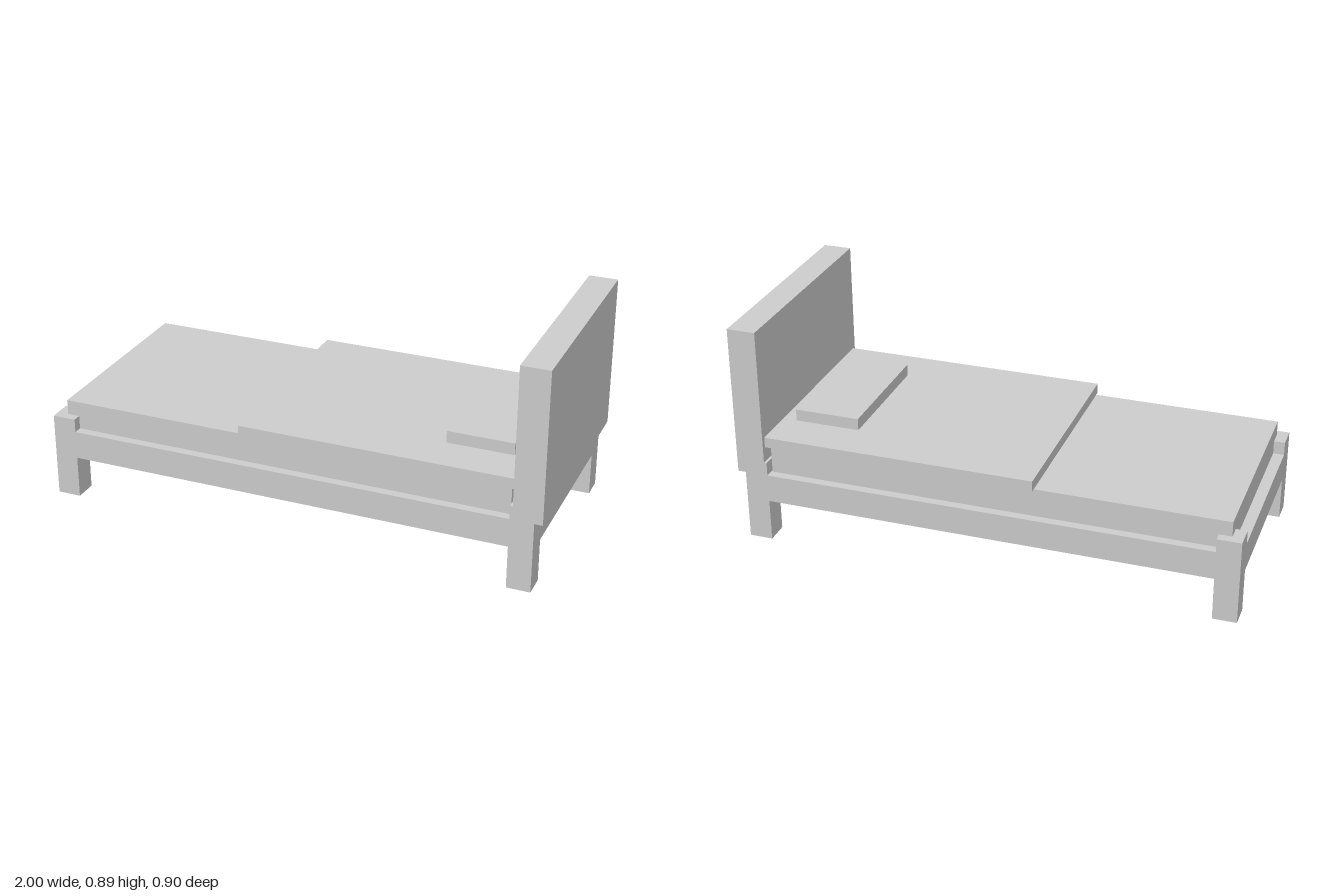
import * as THREE from 'three';

export function createModel() {
  const model = new THREE.Group();
  const grey = new THREE.MeshStandardMaterial({ color: 0xcccccc, side: THREE.DoubleSide });
  grey.name = 'plain grey';

  // Box given by its limits on each axis
  function box(name, [x0, x1], [y0, y1], [z0, z1]) {
    const geometry = new THREE.BoxGeometry(x1 - x0, y1 - y0, z1 - z0);
    const mesh = new THREE.Mesh(geometry, grey);
    mesh.position.set((x0 + x1) / 2, (y0 + y1) / 2, (z0 + z1) / 2);
    mesh.name = name;
    model.add(mesh);
    return mesh;
  }

  // Hollow leg: keep only the four side walls of a box
  function openEnds(mesh) {
    const index = Array.from(mesh.geometry.index.array);
    mesh.geometry.setIndex([...index.slice(0, 12), ...index.slice(24)]);
    mesh.geometry.clearGroups();
  }

  const railBottom = 0.172, railTop = 0.286, postTop = 0.34;

  // Bed base
  box('frame', [-1, 0.968], [railBottom, railTop], [-0.45, 0.45]);

  // Legs below the frame and short corner posts above it
  for (const [end, xs] of [['foot', [-1, -0.906]], ['head', [0.875, 0.968]]]) {
    for (const zs of [[-0.45, -0.357], [0.357, 0.45]]) {
      openEnds(box(end + 'Leg', xs, [0, railBottom], zs));
      box(end + 'Post', xs, [railTop, postTop], zs);
    }
  }

  // Headboard, overhanging the frame at the back
  box('headboard', [0.886, 1], [railTop, 0.893], [-0.45, 0.45]);

  // Bedding
  box('mattress', [-0.956, 0.87], [railTop, 0.4], [-0.414, 0.414]);
  box('blanket', [-0.203, 0.886], [0.4, 0.442], [-0.432, 0.432]);
  box('pillow', [0.566, 0.829], [0.442, 0.49], [-0.259, 0.259]);

  return model;
}
